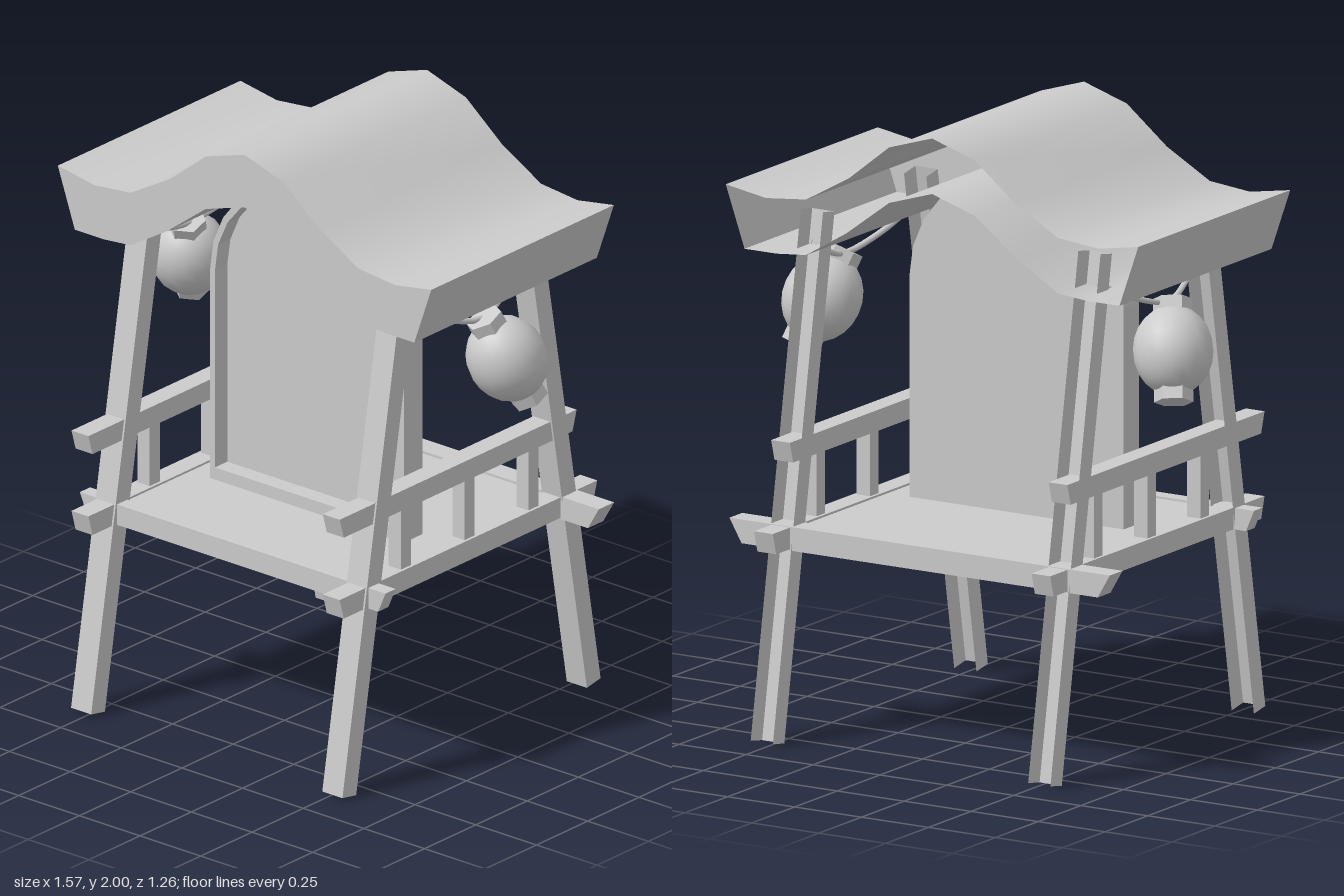
import * as THREE from 'three';

const grey = new THREE.MeshStandardMaterial({ color: 0xcccccc });
const thin = new THREE.MeshStandardMaterial({ color: 0xcccccc, side: THREE.DoubleSide });

function add(parent, name, geometry, x = 0, y = 0, z = 0, material = grey) {
  const mesh = new THREE.Mesh(geometry, material);
  mesh.name = name;
  mesh.position.set(x, y, z);
  parent.add(mesh);
  return mesh;
}

const shapeOf = (pts) => new THREE.Shape(pts.map(([x, y]) => new THREE.Vector2(x, y)));

// Sheet that carries an open xy profile from z0 to z1
function sheet(pts, z0, z1) {
  const n = pts.length;
  const geometry = new THREE.PlaneGeometry(1, 1, n - 1, 1);
  const p = geometry.attributes.position;
  for (let i = 0; i < p.count; i++) {
    const [x, y] = pts[i % n];
    p.setXYZ(i, x, y, i < n ? z0 : z1);
  }
  geometry.computeVertexNormals();
  return geometry;
}

// Beam along x with ends undercut, a..b at the top
function beam(a, b, y0, y1, width, cut) {
  const shape = shapeOf([[a + cut, y0], [b - cut, y0], [b, y1], [a, y1]]);
  const geometry = new THREE.ExtrudeGeometry(shape, { depth: width, bevelEnabled: false });
  return geometry.translate(0, 0, -width / 2);
}

// Round-headed outline
function archPoints(w, y0, spring, h) {
  const pts = [[-w, y0], [w, y0]];
  for (let i = 0; i <= 12; i++) {
    const a = (i / 12) * Math.PI;
    pts.push([w * Math.cos(a), spring + h * Math.sin(a)]);
  }
  return pts;
}

// Curved roof: open at the back
function buildRoof() {
  const roof = new THREE.Group();
  roof.name = 'roof';
  const mirror = (half) => [...half.map(([x, y]) => [-x, y]), [0, half.ridge], ...half.slice().reverse()];
  const topHalf = [[0.77, 1.75], [0.62, 1.725], [0.47, 1.74], [0.31, 1.83], [0.16, 1.95]];
  topHalf.ridge = 2;
  const lowHalf = [[0.7, 1.55], [0.58, 1.55], [0.47, 1.56], [0.32, 1.65], [0.16, 1.77]];
  lowHalf.ridge = 1.82;
  const top = mirror(topHalf), low = mirror(lowHalf);
  add(roof, 'roofTop', sheet(top, -0.445, 0.445), 0, 0, 0, thin);
  add(roof, 'roofUnderside', sheet(low.slice().reverse(), -0.445, 0.445), 0, 0, 0, thin);
  for (const s of [-1, 1])
    add(roof, 'eaveEnd', sheet([[s * 0.77, 1.75], [s * 0.7, 1.55]], -0.445, 0.445), 0, 0, 0, thin);
  const gable = new THREE.ShapeGeometry(shapeOf([...low, ...top.slice().reverse()]));
  add(roof, 'roofFront', gable, 0, 0, 0.445, thin);
  return roof;
}

// Tilted lantern hanging on a slack rope
function buildLantern(s) {
  const group = new THREE.Group();
  group.name = 'lantern';
  const axis = new THREE.Vector3(-s * 0.08, 0.28, 0.12).normalize();
  const hung = new THREE.Group();
  hung.name = 'lanternBody';
  hung.position.set(s * 0.655, 1.32, -0.06);
  hung.quaternion.setFromUnitVectors(new THREE.Vector3(0, 1, 0), axis);
  add(hung, 'paperGlobe', new THREE.SphereGeometry(0.128, 18, 12).scale(1, 1.13, 1));
  for (const e of [-1, 1]) {
    const cap = new THREE.CylinderGeometry(0.062, 0.062, 0.045, 6).toNonIndexed();
    cap.computeVertexNormals();
    add(hung, 'lanternCap', cap, 0, e * 0.145, 0);
  }
  group.add(hung);
  const path = new THREE.CatmullRomCurve3([
    [0.54, 1.56, 0.29], [0.57, 1.5, 0.16], [0.6, 1.46, 0], [0.57, 1.5, -0.16], [0.54, 1.56, -0.29],
  ].map(([x, y, z]) => new THREE.Vector3(s * x, y, z)));
  add(group, 'rope', new THREE.TubeGeometry(path, 16, 0.01, 6), 0, 0, 0, thin);
  return group;
}

export function createModel() {
  const model = new THREE.Group();
  model.name = 'shrine';
  model.add(buildRoof());

  // Splayed legs, hollow towards the back
  const legGeometry = new THREE.BoxGeometry(0.083, 1.69, 0.068);
  const index = Array.from(legGeometry.index.array);
  legGeometry.setIndex([...index.slice(0, 12), ...index.slice(24, 30)]);
  legGeometry.clearGroups();
  const tilt = THREE.MathUtils.degToRad(10);
  for (const sx of [-1, 1])
    for (const sz of [-1, 1]) {
      const leg = add(model, 'leg', legGeometry, sx * 0.518, 0.838, sz * 0.449, thin);
      leg.rotation.x = -sz * tilt;
    }

  // Side rails, lower beams and balusters
  for (const s of [-1, 1]) {
    const low = add(model, 'sideBeam', beam(-0.62, 0.635, 0.62, 0.69, 0.07, 0.02), s * 0.518);
    const rail = add(model, 'handrail', beam(-0.52, 0.635, 0.897, 0.965, 0.07, 0.02), s * 0.518);
    low.rotation.y = rail.rotation.y = -Math.PI / 2;
    for (const z of [0.3, -0.01, -0.322])
      add(model, 'baluster', new THREE.BoxGeometry(0.05, 0.21, 0.05), s * 0.518, 0.793, z);
    model.add(buildLantern(s));
  }

  // Cross beams and floor
  add(model, 'frontBeam', beam(-0.63, 0.63, 0.62, 0.69, 0.05, 0.03), 0, 0, 0.478);
  add(model, 'backBeam', beam(-0.71, 0.71, 0.615, 0.692, 0.075, 0.045), 0, 0, -0.48);
  add(model, 'floor', new THREE.BoxGeometry(1.0, 0.03, 0.92), 0, 0.668, 0);

  // Arched screen: frame with a recessed panel
  const frame = shapeOf(archPoints(0.4, 0.68, 1.4, 0.38));
  const inner = archPoints(0.38, 0.725, 1.4, 0.352);
  frame.holes.push(new THREE.Path(inner.map(([x, y]) => new THREE.Vector2(x, y))));
  add(model, 'archFrame', new THREE.ExtrudeGeometry(frame, { depth: 0.09, bevelEnabled: false }), 0, 0, 0.05);
  add(model, 'archPanel', new THREE.ExtrudeGeometry(shapeOf(inner), { depth: 0.03, bevelEnabled: false }), 0, 0, 0.05);
  add(model, 'doorBar', new THREE.BoxGeometry(0.02, 0.41, 0.05), 0.255, 0.925, 0.1);

  return model;
}
